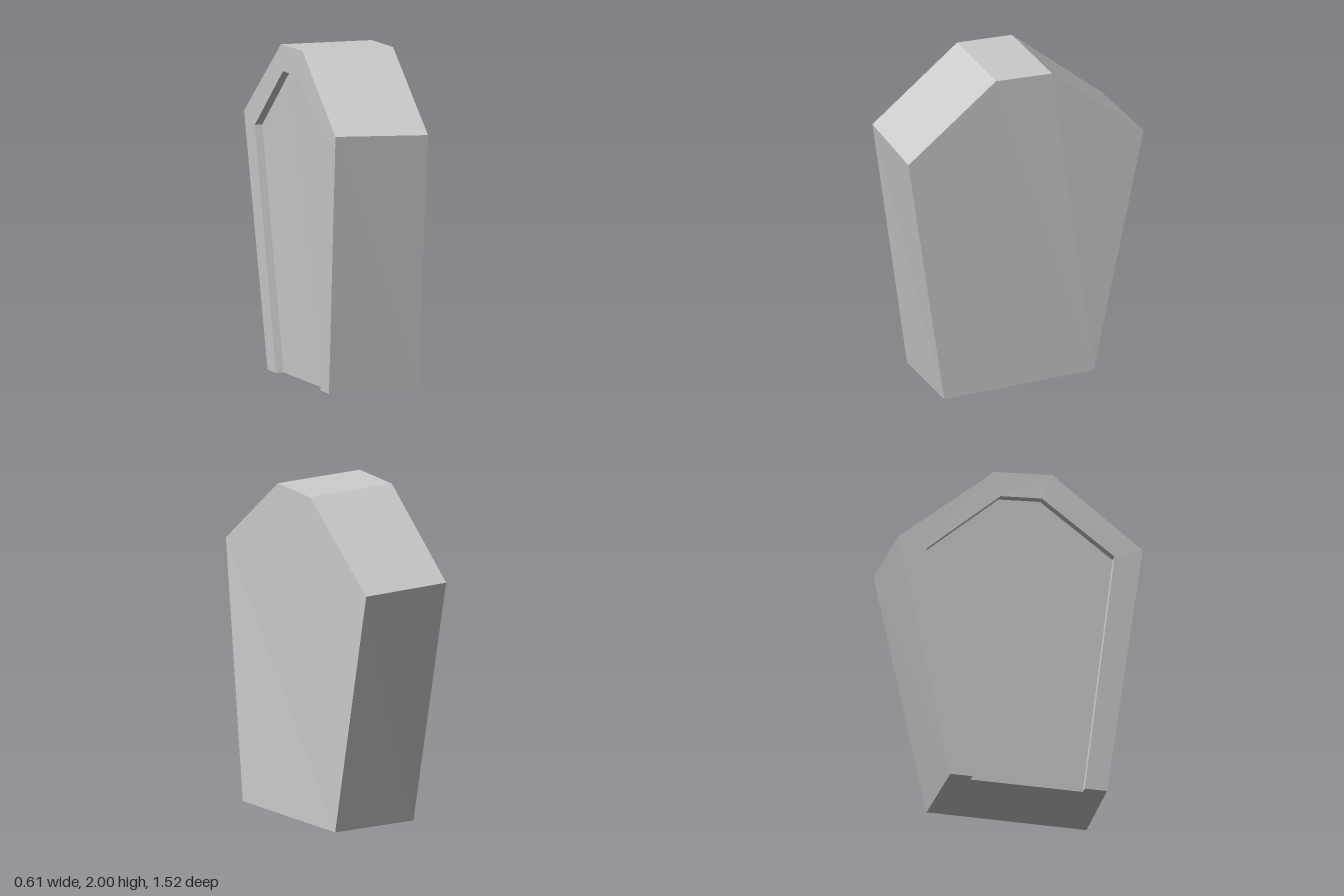
import * as THREE from 'three';

// Six-cornered outlines, each running bottom front, front shoulder, front top,
// back top, back shoulder, bottom back. Corners are [x, y, z].
const leftRing = [
  [0.30, 0, 0.54], [0.27, 1.55, 0.76], [0.285, 1.99, 0.195],
  [0.30, 1.975, -0.165], [0.305, 1.49, -0.76], [0.305, 0, -0.435],
];
const rightRing = [
  [-0.26, 0, 0.515], [-0.305, 1.57, 0.72], [-0.287, 2, 0.175],
  [-0.275, 1.985, -0.178], [-0.265, 1.5, -0.76], [-0.25, 0, -0.44],
];
const rimRing = [
  [-0.257, 0, 0.38], [-0.30, 1.51, 0.55], [-0.288, 1.84, 0.11],
  [-0.278, 1.83, -0.14], [-0.268, 1.44, -0.59], [-0.252, 0, -0.305],
];
const floorRing = rimRing.map(([x, y, z]) => [x + 0.048, y, z]);

// Mesh from flat polygons, each fanned into triangles
function polygonMesh(name, polygons, material) {
  const positions = [];
  for (const p of polygons) {
    for (let i = 1; i < p.length - 1; i++) positions.push(...p[0], ...p[i], ...p[i + 1]);
  }
  const geometry = new THREE.BufferGeometry();
  geometry.setAttribute('position', new THREE.Float32BufferAttribute(positions, 3));
  geometry.computeVertexNormals();
  const mesh = new THREE.Mesh(geometry, material);
  mesh.name = name;
  return mesh;
}

// Quads joining two outlines, leaving the bottom edge open
function strip(a, b) {
  const quads = [];
  for (let i = 0; i < 5; i++) quads.push([a[i], a[i + 1], b[i + 1], b[i]]);
  return quads;
}

export function createModel() {
  const group = new THREE.Group();
  group.name = 'taperedSlab';
  const material = new THREE.MeshStandardMaterial({ color: 0xcccccc, flatShading: true });
  const [L, R, I, F] = [leftRing, rightRing, rimRing, floorRing];

  group.add(
    polygonMesh('leftFace', [[...L].reverse()], material),
    polygonMesh('outerSides', strip(L, R), material),
    // Raised border around the recess on the right face
    polygonMesh('rim', strip(R, I), material),
    polygonMesh('recessWalls', strip(I, F), material),
    polygonMesh('recessFloor', [F], material),
    // Base, notched where the recess runs out at the bottom
    polygonMesh('base', [
      [L[5], L[0], F[0], F[5]],
      [F[0], L[0], R[0], I[0]],
      [L[5], F[5], I[5], R[5]],
    ], material),
  );
  return group;
}
